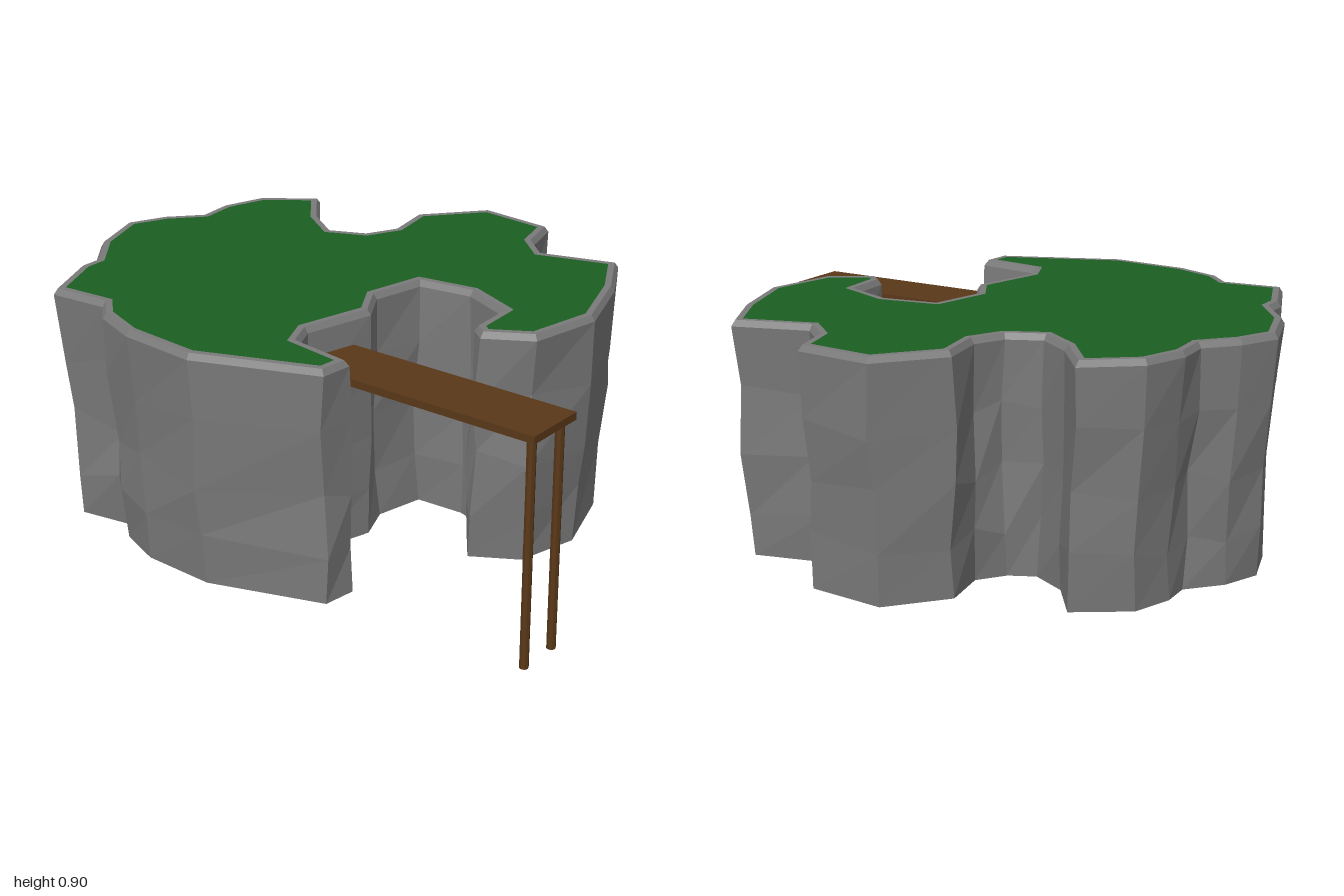
import * as THREE from 'three';

// Plan of the cliff edge as x, z pairs, starting at the back and passing the left side (+x)
const PLAN = [
  [-0.08, -1.0], [0.05, -0.94], [0.15, -0.85], [0.27, -0.86], [0.42, -0.81], [0.55, -0.64],
  [0.39, -0.51], [0.31, -0.39], [0.36, -0.28], [0.46, -0.23], [0.63, -0.26], [0.83, -0.09],
  [0.81, 0.18], [0.66, 0.22], [0.58, 0.31], [0.66, 0.56], [0.46, 0.67], [0.20, 0.76],
  [-0.05, 0.71], [-0.14, 0.56], [-0.10, 0.51], [0.06, 0.50], [0.13, 0.33], [0.10, 0.15],
  [-0.08, 0.11], [-0.20, 0.18], [-0.44, 0.12], [-0.53, 0.16], [-0.56, 0.38], [-0.67, 0.37],
  [-0.83, -0.03], [-0.81, -0.30], [-0.75, -0.46], [-0.68, -0.53], [-0.70, -0.73],
  [-0.49, -0.82], [-0.42, -0.82], [-0.28, -0.93],
];
const N = PLAN.length;

let seed = 11;
function jitter(amount) {
  seed = (seed * 16807) % 2147483647;
  return (seed / 2147483647 - 0.5) * 2 * amount;
}

const material = (color) => new THREE.MeshStandardMaterial({ color, flatShading: true });

function addMesh(group, name, geometry, mat, x = 0, y = 0, z = 0) {
  const mesh = new THREE.Mesh(geometry, mat);
  mesh.name = name;
  mesh.position.set(x, y, z);
  group.add(mesh);
}

// Moves every corner of the plan inward with mitred corners
function inset(plan, d) {
  return plan.map(([x, z], i) => {
    const p = plan[(i + N - 1) % N], q = plan[(i + 1) % N];
    const a = new THREE.Vector2(p[1] - z, x - p[0]).normalize();
    const b = new THREE.Vector2(z - q[1], q[0] - x).normalize();
    const k = d / Math.max(0.6, 1 + a.dot(b));
    return [x + (a.x + b.x) * k, z + (a.y + b.y) * k];
  });
}

// Flat-shaded wall through a stack of rings, bottom to top
function wall(rings) {
  const pos = [];
  for (let r = 0; r + 1 < rings.length; r++) {
    for (let i = 0; i < N; i++) {
      const j = (i + 1) % N;
      const a = rings[r][i], b = rings[r][j], c = rings[r + 1][j], d = rings[r + 1][i];
      pos.push(...b, ...a, ...d, ...b, ...d, ...c);
    }
  }
  return toGeometry(pos);
}

// Flat lid over one ring, facing up or down
function cap(ring, up) {
  const contour = ring.map(([x, , z]) => new THREE.Vector2(x, z));
  const pos = [];
  for (const [i, j, k] of THREE.ShapeUtils.triangulateShape(contour, [])) {
    const [a, b, c] = [contour[i], contour[j], contour[k]];
    const facesUp = (b.x - a.x) * (c.y - a.y) - (b.y - a.y) * (c.x - a.x) < 0;
    const order = facesUp === up ? [i, j, k] : [i, k, j];
    order.forEach((n) => pos.push(...ring[n]));
  }
  return toGeometry(pos);
}

function toGeometry(pos) {
  const geometry = new THREE.BufferGeometry();
  geometry.setAttribute('position', new THREE.Float32BufferAttribute(pos, 3));
  geometry.computeVertexNormals();
  return geometry;
}

export function createModel() {
  const group = new THREE.Group();
  const rock = material(0x7a7a7a);
  const wood = material(0x5a3819);
  const topY = (z) => 0.892 - 0.006 * z;

  // Rough cliff, tapering slightly toward its flat base
  const levels = [[0.09, 0.95], [0.26, 0.96], [0.45, 0.965], [0.66, 0.985]];
  const rings = levels.map(([y, s], r) => PLAN.map(([x, z]) => [
    x * s + jitter(0.013), r ? y + jitter(0.035) : y, z * s + jitter(0.013),
  ]));
  const edge = PLAN.map(([x, z]) => [x, topY(z) - 0.02, z]);
  const lip = inset(PLAN, 0.012).map(([x, z]) => [x, topY(z), z]);
  const lawn = inset(PLAN, 0.033).map(([x, z]) => [x, topY(z), z]);
  addMesh(group, 'cliffWall', wall([...rings, edge]), rock);
  addMesh(group, 'cliffBase', cap(rings[0], false), rock);

  // Bevelled stone rim around the grass
  addMesh(group, 'stoneRim', wall([edge, lip, lawn]), rock);
  addMesh(group, 'grassTop', cap(lawn, true), material(0x1b5e20));

  // Jetty running out of the bay on two posts
  addMesh(group, 'jettyDeck', new THREE.BoxGeometry(0.22, 0.025, 0.9), wood, -0.38, 0.778, 0.55);
  for (const x of [-0.458, -0.31]) {
    addMesh(group, 'jettyPost', new THREE.CylinderGeometry(0.015, 0.015, 0.77, 8), wood, x, 0.385, 0.97);
  }
  return group;
}
